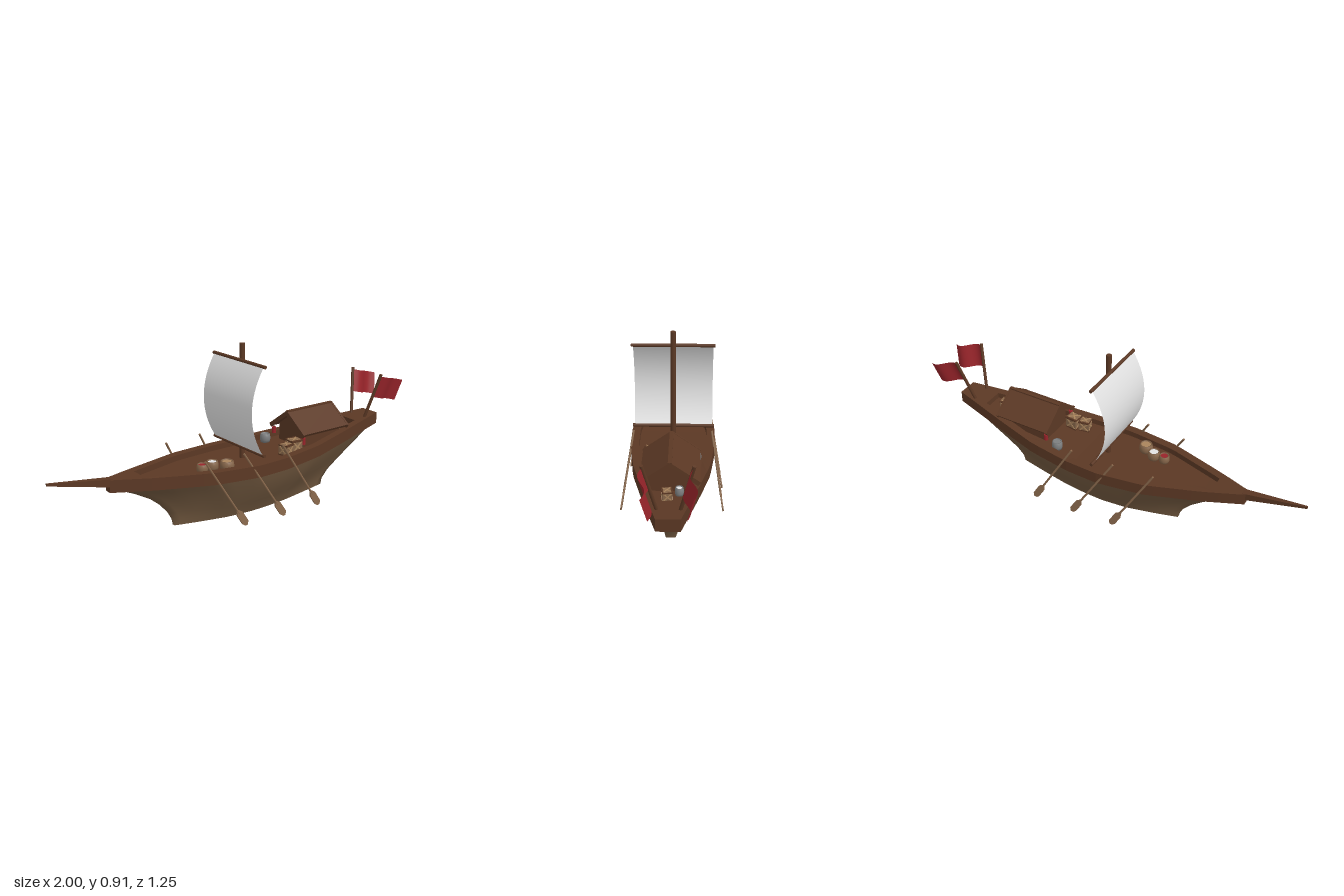
import * as THREE from 'three';

const V = (x, y, z) => new THREE.Vector3(x, y, z);
const mat = (name, color, side = THREE.FrontSide) => {
  const m = new THREE.MeshStandardMaterial({ color, side });
  m.name = name;
  return m;
};

// Stations along the ship, bow to stern: position, half width, rail height
const STATIONS = [
  [-0.86, 0.02, 0.342], [-0.73, 0.07, 0.335], [-0.65, 0.1, 0.33], [-0.36, 0.195, 0.318],
  [-0.1, 0.23, 0.31], [0.09, 0.226, 0.311], [0.335, 0.199, 0.322], [0.59, 0.142, 0.345], [0.927, 0.058, 0.374],
];
const sample = (x, col) => {
  let i = 0;
  while (i < STATIONS.length - 2 && x > STATIONS[i + 1][0]) i++;
  const a = STATIONS[i], b = STATIONS[i + 1];
  const t = THREE.MathUtils.clamp((x - a[0]) / (b[0] - a[0]), 0, 1);
  return a[col] + (b[col] - a[col]) * t;
};

// Closed loop round the ship; fn(s) gives [x, halfWidth, y] for s from 0 (bow) to 1 (stern)
const STEPS = 28;
function shipRing(fn) {
  const side = Array.from({ length: STEPS + 1 }, (_, i) => fn(i / STEPS));
  return [...side.map(([x, w, y]) => V(x, y, w)), ...side.reverse().map(([x, w, y]) => V(x, y, -w))];
}

// Skin a stack of matching rings; caps join the two mirrored halves of a ring
function loft(rings, { capStart = false, capEnd = false, flat = false } = {}) {
  const n = rings[0].length, pos = [], idx = [];
  rings.forEach((r) => r.forEach((p) => pos.push(p.x, p.y, p.z)));
  for (let i = 0; i < rings.length - 1; i++) {
    for (let j = 0; j < n; j++) {
      const a = i * n + j, b = i * n + (j + 1) % n;
      idx.push(a, b, b + n, a, b + n, a + n);
    }
  }
  const cap = (ring, up) => {
    const base = pos.length / 3;
    ring.forEach((p) => pos.push(p.x, p.y, p.z));
    for (let j = 0; j < n / 2 - 1; j++) {
      const a = base + j, b = a + 1, c = base + n - 2 - j, d = c + 1;
      if (up) idx.push(a, b, c, a, c, d);
      else idx.push(a, c, b, a, d, c);
    }
  };
  if (capStart) cap(rings[0], false);
  if (capEnd) cap(rings[rings.length - 1], true);
  let g = new THREE.BufferGeometry();
  g.setAttribute('position', new THREE.Float32BufferAttribute(pos, 3));
  g.setIndex(idx);
  if (flat) g = g.toNonIndexed();
  g.computeVertexNormals();
  return g;
}

export function createModel() {
  const M = {
    dark: mat('dark wood', 0x5b3824),
    hull: mat('hull wood', 0x70573e),
    oar: mat('pale wood', 0x86664a),
    sail: mat('sail cloth', 0xe2e2e2, THREE.DoubleSide),
    red: mat('red cloth', 0x98242a, THREE.DoubleSide),
    tan: mat('straw', 0xa9845c),
    grey: mat('grey clay', 0x7d7f80),
  };
  const root = new THREE.Group();
  const ship = new THREE.Group();
  ship.name = 'ship';
  ship.rotation.y = THREE.MathUtils.degToRad(30.6);
  ship.position.set(0.013, 0, 0.022);
  root.add(ship);

  const add = (name, geo, material, x = 0, y = 0, z = 0, parent = ship) => {
    const m = new THREE.Mesh(geo, material);
    m.name = name;
    m.position.set(x, y, z);
    parent.add(m);
    return m;
  };
  const rod = (name, a, b, r, material, sides = 10) => {
    const m = add(name, new THREE.CylinderGeometry(r, r, a.distanceTo(b), sides), material);
    m.position.copy(a).lerp(b, 0.5);
    m.quaternion.setFromUnitVectors(V(0, 1, 0), b.clone().sub(a).normalize());
    return m;
  };

  // Hull: [height fraction, bow x, stern x, half width]
  const levels = [
    [0, -0.49, 0.515, 0.1], [0.12, -0.497, 0.522, 0.114], [0.27, -0.52, 0.56, 0.135], [0.45, -0.565, 0.635, 0.162],
    [0.65, -0.635, 0.73, 0.186], [0.82, -0.72, 0.81, 0.203], [1, -0.83, 0.9, 0.217],
  ];
  const hullRings = levels.map(([t, x0, x1, w]) => shipRing((s) => {
    const rx = -0.86 + 1.787 * s;
    return [x0 + (x1 - x0) * s, w * sample(rx, 1) / 0.23, t * (sample(rx, 2) - 0.055)];
  }));
  add('hull', loft(hullRings, { capStart: true }), M.hull);

  // Gunwale band with sunken deck
  const railRing = (x0, x1, inset, drop) => shipRing((s) => {
    const x = x0 + (x1 - x0) * s;
    return [x, Math.max(0.008, sample(x, 1) - inset), sample(x, 2) - drop];
  });
  add('railAndDeck', loft([
    railRing(-0.82, 0.89, 0.025, 0.066), railRing(-0.86, 0.927, 0, 0.066), railRing(-0.86, 0.927, 0, 0),
    railRing(-0.69, 0.745, 0.045, 0), railRing(-0.69, 0.745, 0.045, 0.032),
  ], { capEnd: true, flat: true }), M.dark);

  // Bowsprit, a tapering square spar
  const spar = (x, y, h, w) => [V(x, y - h, w), V(x, y - h, -w), V(x, y + h, -w), V(x, y + h, w)];
  add('bowsprit', loft([spar(-1.176, 0.387, 0.006, 0.005), spar(-0.84, 0.322, 0.021, 0.021)],
    { capStart: true, capEnd: true, flat: true }), M.dark);

  // Mast, yards and bellied sail
  rod('mast', V(-0.04, 0.25, 0), V(-0.04, 0.912, 0), 0.0145, M.dark, 14);
  for (const y of [0.352, 0.826]) rod('yard', V(-0.063, y, -0.225), V(-0.063, y, 0.225), 0.0095, M.dark);
  const sail = new THREE.PlaneGeometry(0.43, 0.474, 1, 20).rotateY(-Math.PI / 2);
  const sp = sail.attributes.position;
  for (let i = 0; i < sp.count; i++) sp.setX(i, -0.075 * (1 - (sp.getY(i) / 0.237) ** 2));
  sail.computeVertexNormals();
  add('sail', sail, M.sail, -0.066, 0.589, 0);

  // Deck house with gable roof
  const gable = new THREE.Shape([[-0.105, 0.27], [0.105, 0.27], [0.105, 0.385], [0, 0.46], [-0.105, 0.385]]
    .map(([x, y]) => new THREE.Vector2(x, y)));
  const house = new THREE.ExtrudeGeometry(gable, { depth: 0.27, bevelEnabled: false }).rotateY(Math.PI / 2);
  add('deckHouse', house, M.dark, 0.305, 0, 0);
  for (const s of [-1, 1]) {
    add('roofPanel', new THREE.BoxGeometry(0.325, 0.018, 0.176), M.dark, 0.44, 0.424, s * 0.071).rotation.x = s * 0.62;
    for (const x of [0.275, 0.603]) {
      add('bargeBoard', new THREE.BoxGeometry(0.012, 0.024, 0.18), M.dark, x, 0.422, s * 0.071).rotation.x = s * 0.62;
    }
    add('lantern', new THREE.CylinderGeometry(0.012, 0.012, 0.036, 10), M.red, 0.285, 0.34, s * 0.13);
    add('lanternCord', new THREE.CylinderGeometry(0.003, 0.003, 0.02, 6), M.dark, 0.285, 0.366, s * 0.13);
  }
  add('roofRidge', new THREE.BoxGeometry(0.335, 0.012, 0.02), M.dark, 0.439, 0.48, 0);

  // Splayed poles with waving flags at the stern
  for (const s of [-1, 1]) {
    const foot = V(0.822, 0.34, s * 0.05), top = V(0.887, 0.625, s * 0.118);
    rod('flagPole', foot, top, 0.009, M.dark);
    const flag = new THREE.PlaneGeometry(1, 1, 14, 2), p = flag.attributes.position;
    for (let i = 0; i < p.count; i++) {
      const t = p.getX(i) + 0.5, d = 0.5 - p.getY(i);
      const q = top.clone().lerp(foot, 0.04 + 0.44 * d);
      p.setXYZ(i, q.x + 0.19 * t, q.y - 0.05 * t, q.z + 0.018 * Math.sin(t * Math.PI * 2));
    }
    flag.computeVertexNormals();
    add('flag', flag, M.red);
  }

  // Six raked oars, three a side
  const bladeShape = new THREE.Shape([[-0.007, 0.1], [0.007, 0.1], [0.019, 0.08], [0.019, 0.018], [0.004, 0], [-0.011, 0.006], [-0.019, 0.024], [-0.019, 0.08]]
    .map(([x, y]) => new THREE.Vector2(x, y)));
  const blade = new THREE.ExtrudeGeometry(bladeShape, { depth: 0.008, bevelEnabled: false }).translate(0, 0, -0.004);
  for (const s of [-1, 1]) {
    for (const [hx, hz, tx, tz] of [[-0.41, 0.183, -0.2, 0.254], [-0.182, 0.203, 0.037, 0.274], [0.068, 0.21, 0.28, 0.274]]) {
      const tip = V(tx, 0.012, s * tz), handle = V(hx, 0.386, s * hz);
      const up = handle.clone().sub(tip).normalize();
      rod('oarShaft', tip.clone().addScaledVector(up, 0.08), handle, 0.0058, M.oar, 8);
      const side = up.clone().cross(V(0, 0, 1)).normalize();
      const m = add('oarBlade', blade, M.oar);
      m.quaternion.setFromRotationMatrix(new THREE.Matrix4().makeBasis(side, up, side.clone().cross(up)));
      m.position.copy(tip);
    }
  }

  // Barrels and pots with coloured contents
  const tub = (name, x, z, r, h, body, fill) => {
    const y = sample(x, 2) - 0.034;
    const profile = [[0, 0], [0.85 * r, 0], [r, h * 0.35], [r, h * 0.65], [0.88 * r, h], [0.72 * r, h], [0.72 * r, h - 0.008]]
      .map(([a, b]) => new THREE.Vector2(a, b));
    add(name, new THREE.LatheGeometry(profile, 16), body, x, y, z);
    add(name + 'Contents', new THREE.CircleGeometry(0.74 * r, 16).rotateX(-Math.PI / 2), fill, x, y + h - 0.005, z);
  };
  tub('barrel', -0.351, 0.07, 0.03, 0.045, M.oar, M.red);
  tub('barrel', -0.288, 0.069, 0.034, 0.05, M.oar, M.sail);
  tub('barrel', -0.22, 0.107, 0.038, 0.05, M.oar, M.tan);
  tub('pot', 0.216, -0.124, 0.03, 0.05, M.grey, M.grey);
  tub('pot', 0.618, -0.046, 0.022, 0.045, M.grey, M.sail);

  // Crates with crossed battens on every face
  for (const [x, z, size, turn] of [[0.176, 0.112, 0.06, 0.2], [0.243, 0.1, 0.068, -0.1], [0.66, 0.013, 0.05, 0.15]]) {
    const crate = new THREE.Group();
    crate.name = 'crate';
    crate.position.set(x, sample(x, 2) - 0.034 + size / 2, z);
    crate.rotation.y = turn;
    ship.add(crate);
    add('crateBox', new THREE.BoxGeometry(size, size, size), M.oar, 0, 0, 0, crate);
    for (const [rx, ry] of [[0, 0], [0, 1], [0, 2], [0, 3], [-1, 0]]) {
      const face = new THREE.Group();
      face.rotation.set(rx * Math.PI / 2, ry * Math.PI / 2, 0);
      crate.add(face);
      for (const a of [-1, 1]) {
        add('crossBatten', new THREE.BoxGeometry(size * 1.3, size * 0.12, 0.004), M.tan, 0, 0, size / 2, face).rotation.z = a * Math.PI / 4;
        add('edgeBatten', new THREE.BoxGeometry(size, size * 0.12, 0.005), M.dark, 0, a * size * 0.44, size / 2, face);
      }
    }
  }
  return root;
}
